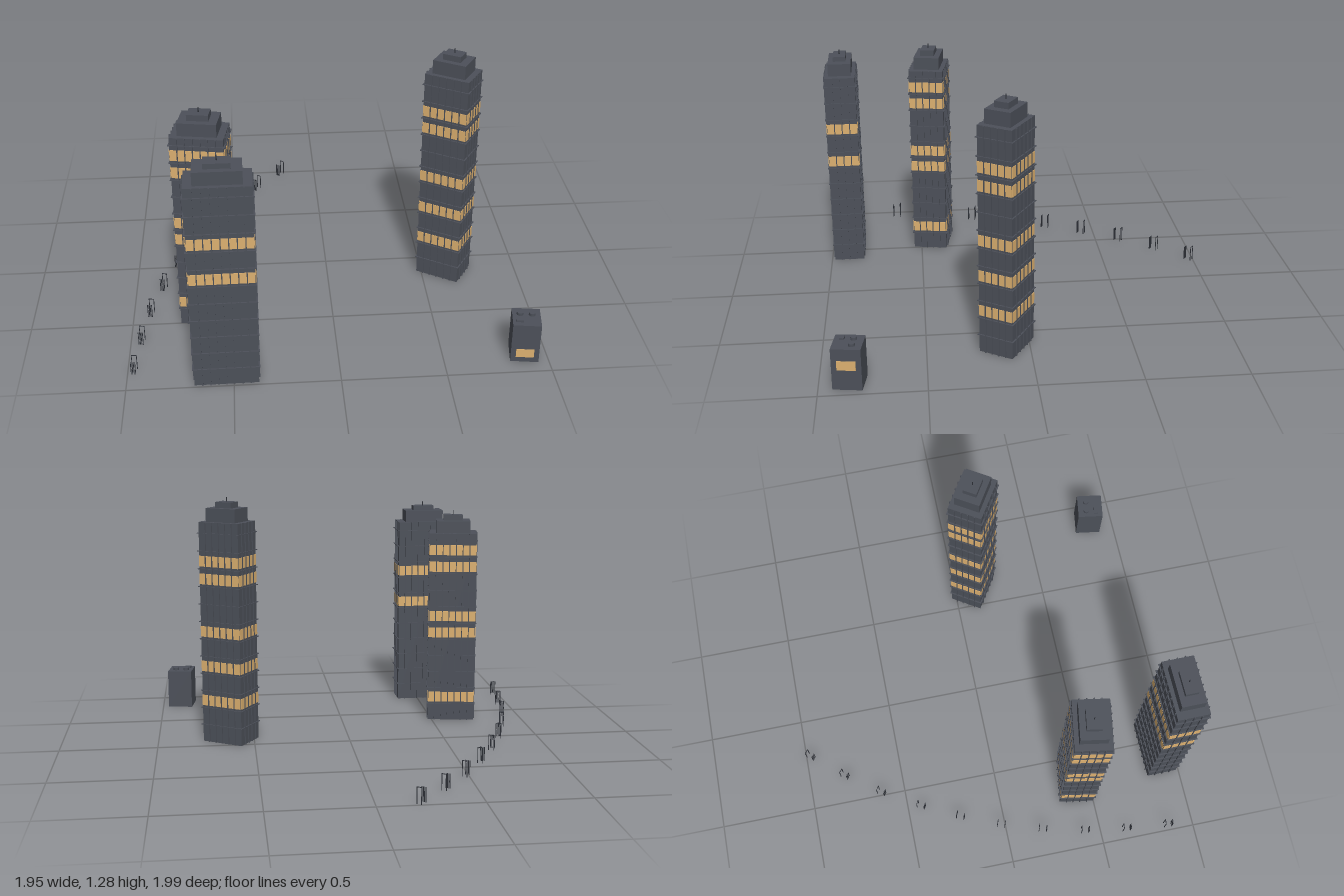
import * as THREE from 'three';

const wall = new THREE.MeshStandardMaterial({ color: 0x4c5059 });
wall.name = 'slate wall';
const glow = new THREE.MeshStandardMaterial({ color: 0xdcb070 });
glow.name = 'lit window';
const iron = new THREE.MeshStandardMaterial({ color: 0x2e3138 });
iron.name = 'dark iron';

const FLOOR = 0.0915; // storey height
const FIN = 0.006; // fin depth

// Box standing on y, centred on x and z
function box(parent, name, mat, w, h, d, x, y, z) {
  const m = new THREE.Mesh(new THREE.BoxGeometry(w, h, d), mat);
  m.name = name;
  m.position.set(x, y + h / 2, z);
  parent.add(m);
  return m;
}

// Runs fn for each of the four faces with a group whose +z points outward
function eachFace(parent, name, w, d, fn) {
  for (let i = 0; i < 4; i++) {
    const face = new THREE.Group();
    face.name = name;
    face.rotation.y = (i * Math.PI) / 2;
    parent.add(face);
    fn(face, i % 2 ? d : w, (i % 2 ? w : d) / 2, i);
  }
}

function tower({ name, x, z, angle, w, d, h, tiers, nx, nz, lit }) {
  const g = new THREE.Group();
  g.name = name;
  g.position.set(x, 0, z);
  g.rotation.y = -angle;
  const bw = w - 2 * FIN, bd = d - 2 * FIN;
  box(g, 'shaft', wall, bw, h, bd, 0, 0, 0);

  // Fins and rows of lit panes on every face
  eachFace(g, 'facade', bw, bd, (face, width, out, i) => {
    const n = i % 2 ? nz : nx;
    const step = width / n;
    for (let k = 1; k < n; k++) {
      box(face, 'fin', wall, 0.005, h, FIN, -width / 2 + k * step, 0, out + FIN / 2);
    }
    for (const f of lit) {
      for (let k = 0; k < n; k++) {
        box(face, 'windowPane', glow, step - 0.003, 0.055, 0.004,
          -width / 2 + (k + 0.5) * step, 0.04 + f * FLOOR - 0.0275, out + 0.001);
      }
    }
  });

  // Thin floor ledges
  for (let y = FLOOR; y < h - 0.02; y += FLOOR) {
    box(g, 'floorLedge', wall, w + 0.002, 0.004, d + 0.002, 0, y - 0.002, 0);
  }

  // Stepped crown and mast
  box(g, 'lowerCrown', wall, w * 0.7, tiers[0] - h, d * 0.7, 0, h, 0);
  box(g, 'upperCrown', wall, w * 0.385, tiers[1] - tiers[0], d * 0.385, 0, tiers[0], 0);
  const mast = new THREE.Mesh(new THREE.CylinderGeometry(0.002, 0.003, 0.024, 6), iron);
  mast.name = 'mast';
  mast.position.y = tiers[1] + 0.012;
  g.add(mast);
  return g;
}

function kiosk() {
  const g = new THREE.Group();
  g.name = 'lowBuilding';
  g.position.set(0.892, 0, 0.856);
  g.rotation.y = -0.15;
  box(g, 'block', wall, 0.134, 0.21, 0.139, 0, 0, 0);
  box(g, 'frontWindow', glow, 0.085, 0.045, 0.006, 0, 0.028, 0.0695);
  box(g, 'sideWindow', glow, 0.006, 0.047, 0.088, 0.067, 0.103, 0);
  // Roof vents
  for (const [x, z] of [[-0.03, -0.022], [0.027, -0.022]]) {
    const v = new THREE.Mesh(new THREE.CylinderGeometry(0.016, 0.016, 0.014, 12), wall);
    v.name = 'roofVent';
    v.position.set(x, 0.217, z);
    g.add(v);
  }
  box(g, 'roofBox', wall, 0.034, 0.01, 0.022, -0.033, 0.21, 0.032);
  return g;
}

// Open frame with a row of slim posts a little further along the path
function gate(px, pz, tx, tz) {
  const g = new THREE.Group();
  g.name = 'gate';
  g.position.set(px, 0, pz);
  g.rotation.y = Math.atan2(tx, tz);
  for (const s of [-1, 1]) box(g, 'framePost', iron, 0.003, 0.08, 0.003, s * 0.012, 0, 0);
  box(g, 'frameLintel', iron, 0.027, 0.003, 0.003, 0, 0.079, 0);
  for (let i = 0; i < 4; i++) {
    box(g, 'slimPost', iron, 0.003, 0.072, 0.003, -0.0105 + i * 0.007, 0, 0.04);
  }
  return g;
}

export function createModel() {
  const root = new THREE.Group();
  root.name = 'towerDistrict';
  root.add(
    tower({ name: 'tallTower', x: 0.62, z: 0.11, angle: 0.56, w: 0.242, d: 0.188, h: 1.155,
      tiers: [1.225, 1.255], nx: 6, nz: 5, lit: [2, 4, 6, 9, 10] }),
    tower({ name: 'middleTower', x: -0.62, z: 0.43, angle: 0.168, w: 0.265, d: 0.194, h: 1.045,
      tiers: [1.11, 1.14], nx: 7, nz: 5, lit: [1, 5, 6, 9, 10] }),
    tower({ name: 'wideTower', x: -0.534, z: 0.905, angle: -0.008, w: 0.312, d: 0.172, h: 1.055,
      tiers: [1.12, 1.145], nx: 8, nz: 4, lit: [6, 8] }),
    kiosk(),
  );

  // Gates along a curved path
  const path = [[-0.195, -0.99], [-0.34, -0.823], [-0.475, -0.643], [-0.595, -0.445], [-0.697, -0.247],
    [-0.785, -0.04], [-0.855, 0.175], [-0.91, 0.397], [-0.945, 0.62], [-0.968, 0.845]];
  path.forEach(([x, z], i) => {
    const a = path[Math.max(i - 1, 0)], b = path[Math.min(i + 1, path.length - 1)];
    root.add(gate(x, z, b[0] - a[0], b[1] - a[1]));
  });
  return root;
}
